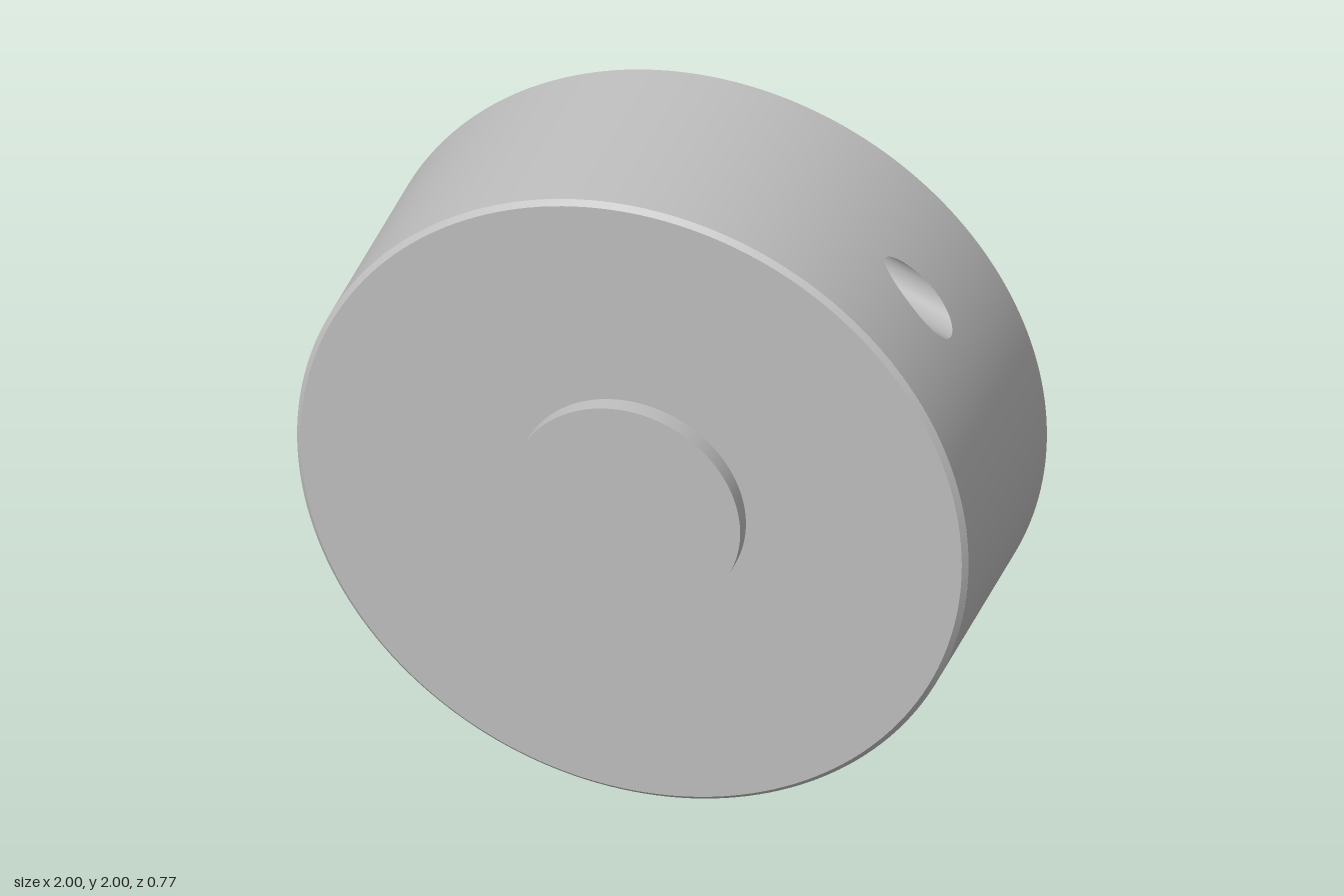
import * as THREE from 'three';

const R = 1, BACK = -0.377, FRONT = 0.335, CHAMFER = 0.015;
const Z0 = BACK + CHAMFER, Z1 = FRONT - CHAMFER;
const rad = THREE.MathUtils.degToRad;

// Surface through a grid of points; faces point along (row direction x column direction).
function sheet(rows, cols, closed, point) {
  const pos = [], index = [], n = closed ? cols : cols + 1;
  for (let i = 0; i <= rows; i++)
    for (let j = 0; j < n; j++) pos.push(...point(i / rows, j / cols));
  for (let i = 0; i < rows; i++)
    for (let j = 0; j < cols; j++) {
      const k = (j + 1) % n;
      const a = i * n + j, b = a + n, c = (i + 1) * n + k, d = i * n + k;
      index.push(a, b, c, a, c, d);
    }
  const g = new THREE.BufferGeometry();
  g.setAttribute('position', new THREE.Float32BufferAttribute(pos, 3));
  g.setIndex(index);
  g.computeVertexNormals();
  return g;
}

// Exact round normals for pieces of the rim wall
function roundNormals(g) {
  const p = g.attributes.position, n = g.attributes.normal;
  for (let i = 0; i < p.count; i++) n.setXYZ(i, p.getX(i) / R, p.getY(i) / R, 0);
  return g;
}

const onWall = (t, z) => [R * Math.cos(t), R * Math.sin(t), z];

export function createModel() {
  const model = new THREE.Group();
  const grey = new THREE.MeshStandardMaterial({ color: 0xbfbfbf });
  grey.name = 'plain grey';

  const add = (parent, name, geometry) => {
    const mesh = new THREE.Mesh(geometry, grey);
    mesh.name = name;
    parent.add(mesh);
    return mesh;
  };

  const disc = new THREE.Group();
  disc.name = 'disc';
  disc.position.y = R;
  disc.rotation.y = -0.006;
  model.add(disc);

  // Flat faces and chamfered edges
  add(disc, 'frontFace', new THREE.CircleGeometry(R - CHAMFER, 180).translate(0, 0, FRONT));
  add(disc, 'backFace', new THREE.CircleGeometry(R - CHAMFER, 180).rotateY(Math.PI).translate(0, 0, BACK));
  const chamfer = (name, a, b) => add(disc, name, new THREE.LatheGeometry(
    [new THREE.Vector2(...a), new THREE.Vector2(...b)], 180).rotateX(Math.PI / 2));
  chamfer('frontChamfer', [R, Z1], [R - CHAMFER, FRONT]);
  chamfer('backChamfer', [R - CHAMFER, BACK], [R, Z0]);

  // Raised round boss on the front
  const boss = add(disc, 'boss', new THREE.CylinderGeometry(0.342, 0.342, 0.08, 128).rotateX(Math.PI / 2));
  boss.position.set(0, 0, 0.345);

  // Slanted blind bore: axis direction, offset of the axis from the centre, radius
  const slant = rad(158), offset = 0.883, r = 0.067, zc = 0.01, endDepth = -0.08;
  const dx = Math.cos(slant), dy = Math.sin(slant), nx = dy, ny = -dx;
  const inBore = (across, along, z) => [nx * across + dx * along, ny * across + dy * along, z];
  const mid = rad(41.3), span = rad(14);

  // Rim angle and depth of the bore mouth at angle f around the bore
  const mouth = f => [slant - Math.PI + Math.asin(offset + r * Math.cos(f)), zc + r * Math.sin(f)];

  const endCap = sheet(1, 96, true, (u, v) => {
    const f = v * 2 * Math.PI;
    return inBore(offset + u * r * Math.cos(f), endDepth, zc + u * r * Math.sin(f));
  });
  const boreWall = sheet(1, 96, true, (u, v) => {
    const f = v * 2 * Math.PI, c = offset + r * Math.cos(f);
    return inBore(c, THREE.MathUtils.lerp(endDepth, -Math.sqrt(R * R - c * c), u), zc + r * Math.sin(f));
  });
  // Rim wall around the mouth, blending from its outline to a rectangle
  const mouthWall = roundNormals(sheet(12, 96, true, (u, v) => {
    const f = v * 2 * Math.PI, c = Math.cos(f), s = Math.sin(f);
    const m = Math.max(Math.abs(c), Math.abs(s)), [t, z] = mouth(f);
    const edgeT = mid + span * c / m;
    const edgeZ = THREE.MathUtils.lerp(Z0, Z1, 0.5 + 0.5 * s / m);
    return onWall(THREE.MathUtils.lerp(t, edgeT, u), THREE.MathUtils.lerp(z, edgeZ, u));
  }));
  // Plain rim wall up to the opposite bore
  const plainWall = roundNormals(sheet(80, 1, false, (u, v) =>
    onWall(mid + span + u * (Math.PI - 2 * span), THREE.MathUtils.lerp(Z0, Z1, v))));

  // The rim repeats after half a turn
  for (const [name, turn] of [['upperRim', 0], ['lowerRim', Math.PI]]) {
    const half = new THREE.Group();
    half.name = name;
    half.rotation.z = turn;
    add(half, 'rimWall', plainWall);
    add(half, 'rimAroundBore', mouthWall);
    add(half, 'boreWall', boreWall);
    add(half, 'boreEnd', endCap);
    disc.add(half);
  }
  return model;
}
